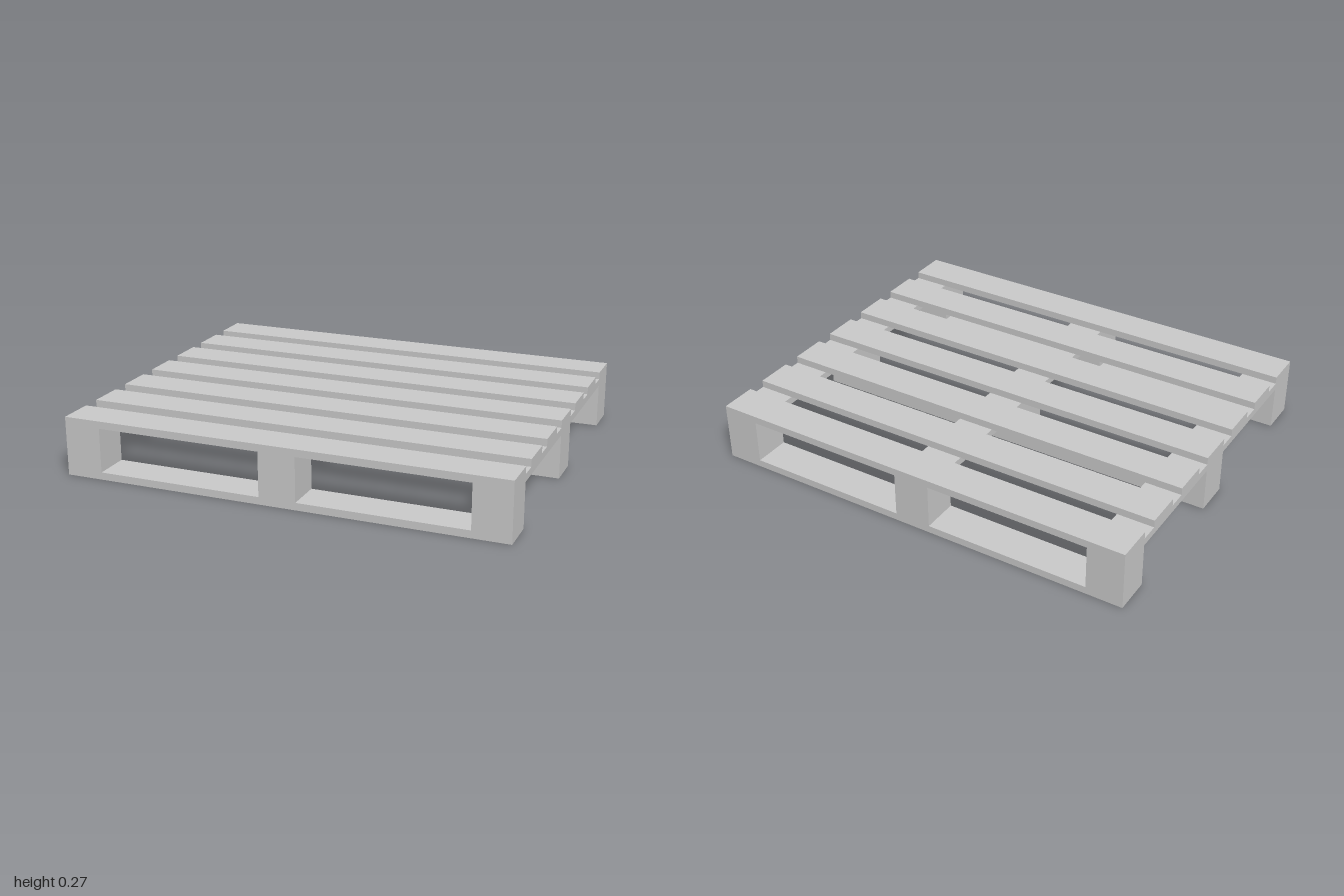
import * as THREE from 'three';

const WIDTH = 2;            // along x
const DEPTH = 5 / 3;        // along z
const PLANK = 1 / 6;        // plank and block width
const THICK = 1 / 30;       // plank thickness
const BLOCK_HEIGHT = 1 / 6;

export function createModel() {
  const pallet = new THREE.Group();
  pallet.name = 'pallet';
  const material = new THREE.MeshStandardMaterial({ color: 0xcccccc });

  // Adds a box whose underside rests at the given height
  function addBox(name, geometry, x, bottom, z) {
    const mesh = new THREE.Mesh(geometry, material);
    mesh.name = name;
    mesh.position.set(x, bottom + geometry.parameters.height / 2, z);
    pallet.add(mesh);
  }

  const longPlank = new THREE.BoxGeometry(WIDTH, THICK, PLANK);
  const crossPlank = new THREE.BoxGeometry(PLANK, THICK, DEPTH);
  const block = new THREE.BoxGeometry(PLANK, BLOCK_HEIGHT, PLANK);

  const stringerY = THICK + BLOCK_HEIGHT;
  const deckY = stringerY + THICK;
  const xStep = (WIDTH - PLANK) / 2;
  const zStep = (DEPTH - PLANK) / 2;

  for (let i = -1; i <= 1; i++) {
    // Runners on the ground and cross planks under the deck
    addBox('bottomRunner', longPlank, 0, 0, i * zStep);
    addBox('crossPlank', crossPlank, i * xStep, stringerY, 0);
    // Spacer blocks, three on each runner
    for (let j = -1; j <= 1; j++) {
      addBox('spacerBlock', block, j * xStep, THICK, i * zStep);
    }
  }

  // Seven evenly spaced deck boards
  for (let i = -3; i <= 3; i++) {
    addBox('deckBoard', longPlank, 0, deckY, (i * zStep) / 3);
  }

  return pallet;
}
